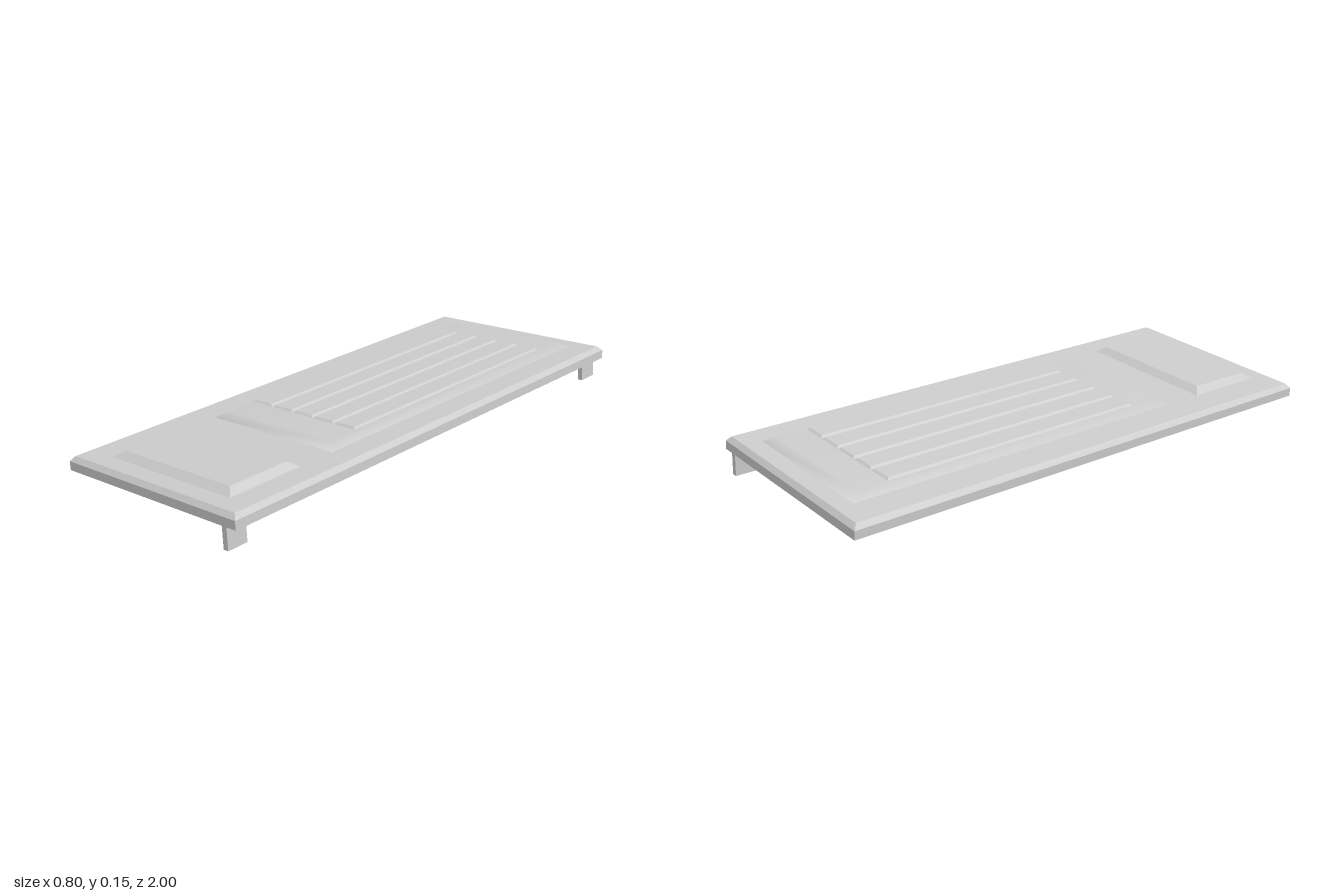
import * as THREE from 'three';

const material = new THREE.MeshStandardMaterial({ color: 0xcccccc });

// Bevelled block: rectangle [x0, x1, z0, z1] at y0, shrunk by the inset at y1.
function raised(name, [x0, x1, z0, z1], y0, y1, inset, smooth = false) {
  const ring = (y, d) => [
    x0 + d, y, z1 - d, x1 - d, y, z1 - d, x1 - d, y, z0 + d, x0 + d, y, z0 + d,
  ];
  let geometry = new THREE.BufferGeometry();
  geometry.setAttribute('position',
    new THREE.Float32BufferAttribute([...ring(y0, 0), ...ring(y1, inset)], 3));
  const index = [4, 5, 6, 4, 6, 7, 0, 2, 1, 0, 3, 2];
  for (let i = 0; i < 4; i++) {
    const j = (i + 1) % 4;
    index.push(i, j, j + 4, i, j + 4, i + 4);
  }
  // A smooth panel is left open underneath so its normals stay upward.
  geometry.setIndex(smooth ? [...index.slice(0, 6), ...index.slice(12)] : index);
  if (!smooth) geometry = geometry.toNonIndexed();
  geometry.computeVertexNormals();
  const mesh = new THREE.Mesh(geometry, material);
  mesh.name = name;
  return mesh;
}

function box(name, w, h, d, x, y, z) {
  const mesh = new THREE.Mesh(new THREE.BoxGeometry(w, h, d), material);
  mesh.name = name;
  mesh.position.set(x, y, z);
  return mesh;
}

export function createModel() {
  const model = new THREE.Group();
  model.name = 'tiltedPanel';
  const board = new THREE.Group();
  board.name = 'board';
  board.position.y = 0.0585;
  board.rotation.z = Math.atan(0.0588);
  model.add(board);

  // Base board with a chamfered upper edge
  board.add(box('boardBase', 0.8, 0.032, 2, 0, 0.016, 0));
  board.add(raised('boardChamfer', [-0.4, 0.4, -1, 1], 0.032, 0.049, 0.015));

  // Raised fields: a long one under the slats and a short one in front
  board.add(raised('longPanel', [-0.272, 0.292, -0.92, 0.46], 0.049, 0.07, 0.033, true));
  board.add(raised('shortPanel', [-0.272, 0.292, 0.61, 0.917], 0.049, 0.07, 0.03));

  // Five bevelled slats along the long field
  for (let i = 0; i < 5; i++) {
    const x = -0.191 + i * 0.099;
    board.add(raised(`slat${i + 1}`, [x - 0.047, x + 0.047, -0.77, 0.305], 0.0695, 0.0765, 0.009));
  }

  // Two feet on the raised side
  for (const s of [-1, 1]) {
    board.add(box(s > 0 ? 'frontFoot' : 'backFoot', 0.02, 0.079, 0.08, 0.349, -0.0395, s * 0.96));
  }
  return model;
}
